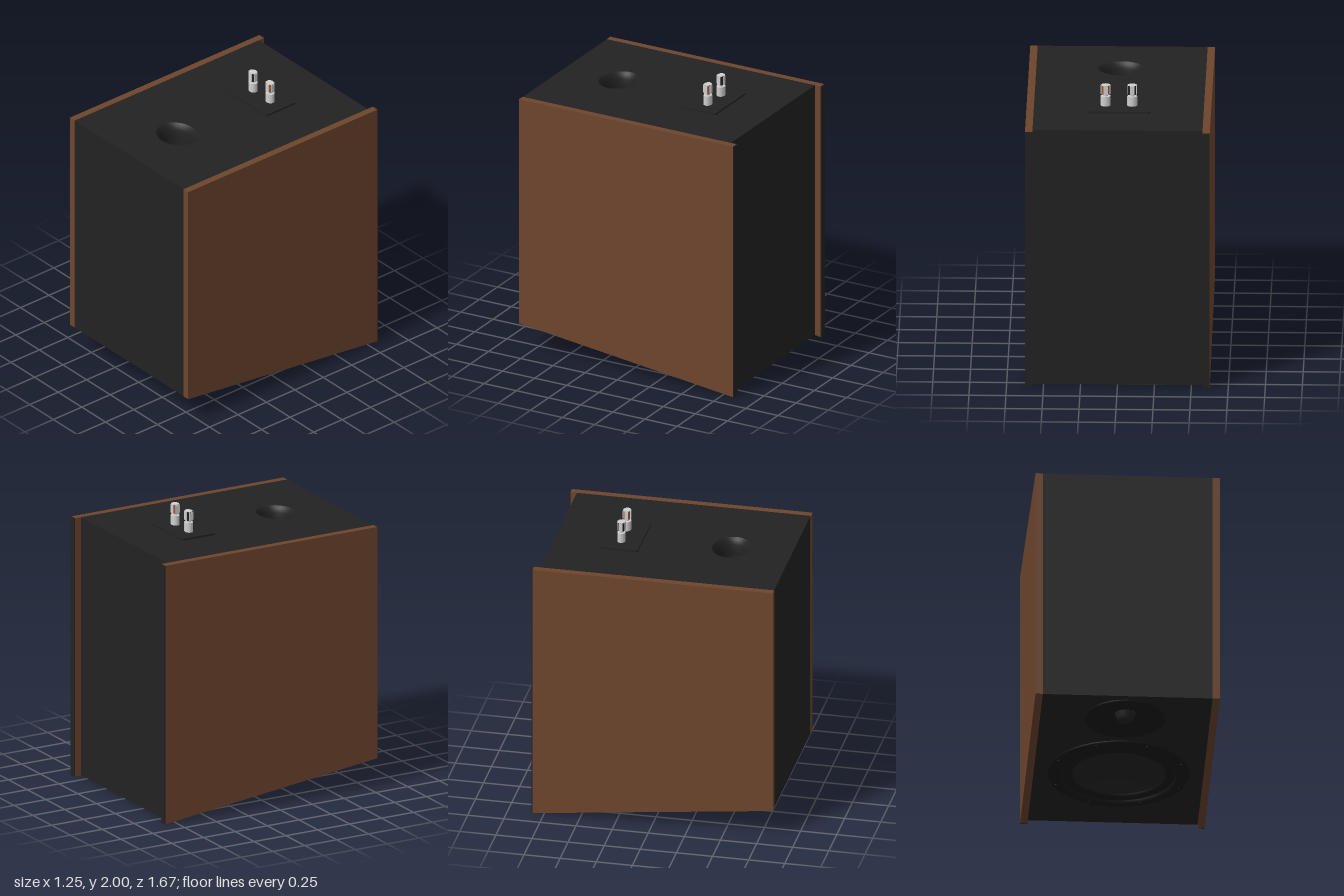
import * as THREE from 'three';

const mat = (name, color, side = THREE.FrontSide) => {
  const m = new THREE.MeshStandardMaterial({ color, side });
  m.name = name;
  return m;
};

const SLOPE = 0.1168, TOP = 1.84, SQUASH = 0.87;
const BACK = -0.785, FRONT = 0.833, INNER = 0.575, OUTER = 0.625, END = 0.835;
const slopeY = z => 0.0975 + SLOPE * z;

export function createModel() {
  const model = new THREE.Group();
  model.name = 'loudspeaker';

  const black = mat('cabinetBlack', 0x222222);
  const wood = mat('walnut', 0x6e452d);
  const trim = mat('driverBlack', 0x191919, THREE.DoubleSide);
  const cone = mat('coneGrey', 0x242424, THREE.DoubleSide);
  const silver = mat('silver', 0xd0d0d0);
  const copper = mat('copper', 0x9a5a3a);

  const add = (parent, name, geo, material, x = 0, y = 0, z = 0) => {
    const m = new THREE.Mesh(geo, material);
    m.name = name;
    m.position.set(x, y, z);
    parent.add(m);
    return m;
  };
  const lathe = (points, seg = 64) =>
    new THREE.LatheGeometry(points.map(p => new THREE.Vector2(...p)), seg);

  // Upright slab with elliptical holes; bottom and top heights follow rules of z
  const slab = (holes, low, high) => {
    const s = new THREE.Shape();
    s.moveTo(-INNER, -FRONT).lineTo(INNER, -FRONT).lineTo(INNER, -BACK).lineTo(-INNER, -BACK).closePath();
    for (const [z, rx, rz] of holes) {
      const h = new THREE.Path();
      h.absellipse(0, -z, rx, rz, 0, Math.PI * 2, true);
      s.holes.push(h);
    }
    const g = new THREE.ExtrudeGeometry(s, { depth: 1, bevelEnabled: false, curveSegments: 32 });
    g.rotateX(-Math.PI / 2);
    const p = g.attributes.position;
    for (let i = 0; i < p.count; i++) {
      p.setY(i, p.getY(i) < 0.5 ? low(p.getZ(i)) : high(p.getZ(i)));
    }
    g.computeVertexNormals();
    return g;
  };

  // Cabinet: main body with port opening, sloped baffle with driver openings
  const joint = z => slopeY(z) + 0.25;
  add(model, 'cabinetBody', slab([[0.412, 0.157, 0.133]], joint, () => TOP), black);
  add(model, 'baffle', slab([
    [-0.15, 0.39, 0.39 * SQUASH], [0.555, 0.2, 0.2 * SQUASH],
  ], slopeY, joint), black);

  // Wooden side panels with dark back edging
  const side = new THREE.Shape();
  side.moveTo(-END + 0.006, slopeY(-END)).lineTo(END, slopeY(END)).lineTo(END, TOP).lineTo(-END + 0.006, TOP).closePath();
  const sideGeo = new THREE.ExtrudeGeometry(side, { depth: OUTER - INNER, bevelEnabled: false });
  sideGeo.rotateY(-Math.PI / 2).translate((OUTER - INNER) / 2, 0, 0);
  const edgeGeo = new THREE.BoxGeometry(OUTER - INNER, TOP, 0.006);
  for (const s of [1, -1]) {
    const x = s * (INNER + OUTER) / 2;
    add(model, s > 0 ? 'leftSidePanel' : 'rightSidePanel', sideGeo, wood, x);
    add(model, s > 0 ? 'leftBackEdging' : 'rightBackEdging', edgeGeo, black, x, TOP / 2, -END + 0.003);
  }

  // Flared port tube
  const port = add(model, 'portTube', lathe([
    [0.157, 0], [0.14, -0.015], [0.127, -0.045], [0.12, -0.1], [0.12, -0.5], [0, -0.5],
  ]), mat('portBlack', 0x222222, THREE.DoubleSide), 0, TOP, 0.412);
  port.scale.z = 0.85;

  // Drivers: local +y points out of the sloped baffle
  const driver = (name, z) => {
    const g = new THREE.Group();
    g.name = name;
    g.position.set(0, slopeY(z), z);
    g.rotation.x = Math.PI - Math.atan(SLOPE);
    g.scale.z = SQUASH;
    model.add(g);
    return g;
  };

  const woofer = driver('woofer', -0.15);
  add(woofer, 'wooferFrame', lathe([
    [0.48, 0], [0.478, 0.012], [0.425, 0.014], [0.41, 0.03], [0.392, 0.03], [0.385, 0],
  ]), trim);
  const roll = [];
  for (let i = 0; i <= 8; i++) {
    const a = i / 8 * Math.PI;
    roll.push([0.35 + 0.036 * Math.cos(a), 0.024 * Math.sin(a)]);
  }
  add(woofer, 'wooferSurround', lathe(roll), trim);
  add(woofer, 'wooferCone', lathe([[0.316, 0], [0.22, -0.06], [0.11, -0.11]]), cone);
  add(woofer, 'dustCap', lathe([[0.115, -0.108], [0.09, -0.09], [0.05, -0.078], [0, -0.074]]), cone);
  const screwGeo = new THREE.CylinderGeometry(0.011, 0.011, 0.006, 12);
  for (let i = 0; i < 8; i++) {
    const a = (i + 0.5) * Math.PI / 4;
    add(woofer, 'screw', screwGeo, trim, 0.45 * Math.cos(a), 0.014, 0.45 * Math.sin(a));
  }

  const tweeter = driver('tweeter', 0.555);
  add(tweeter, 'tweeterPlate', lathe([
    [0.27, 0], [0.268, 0.011], [0.2, 0.011], [0.14, -0.002], [0.1, -0.018], [0.07, -0.03],
  ]), trim);
  add(tweeter, 'tweeterDome', lathe([
    [0.07, -0.03], [0.055, 0.008], [0.045, 0.023], [0.025, 0.033], [0, 0.036],
  ], 32), cone);

  // Terminal plate with rounded corners
  const w = 0.215, d = 0.133, r = 0.015;
  const plate = new THREE.Shape();
  plate.absarc(w - r, d - r, r, 0, Math.PI / 2);
  plate.absarc(r - w, d - r, r, Math.PI / 2, Math.PI);
  plate.absarc(r - w, r - d, r, Math.PI, Math.PI * 1.5);
  plate.absarc(w - r, r - d, r, Math.PI * 1.5, Math.PI * 2);
  const plateGeo = new THREE.ExtrudeGeometry(plate, { depth: 0.012, bevelEnabled: false });
  plateGeo.rotateX(-Math.PI / 2);
  add(model, 'terminalPlate', plateGeo, black, 0, TOP, -0.325);

  // Binding posts: collar, neck, coloured knob with silver ribs and cap
  const cyl = (rad, h) => new THREE.CylinderGeometry(rad, rad, h, 12).toNonIndexed();
  for (const s of [1, -1]) {
    const post = new THREE.Group();
    post.name = s > 0 ? 'leftBindingPost' : 'rightBindingPost';
    post.position.set(s * 0.09, TOP, -0.33);
    post.scale.z = 0.85;
    model.add(post);
    add(post, 'collar', cyl(0.034, 0.068), silver, 0, 0.046);
    add(post, 'neck', cyl(0.016, 0.03), silver, 0, 0.09);
    add(post, 'knob', cyl(0.031, 0.062), s > 0 ? copper : black, 0, 0.126);
    add(post, 'knobCap', cyl(0.031, 0.004), silver, 0, 0.158);
    for (let i = 0; i < 4; i++) {
      const a = i * Math.PI / 2;
      const rib = add(post, 'knobRib', new THREE.BoxGeometry(0.03, 0.06, 0.006), silver,
        0.03 * Math.sin(a), 0.126, 0.03 * Math.cos(a));
      rib.rotation.y = a;
    }
  }
  return model;
}
